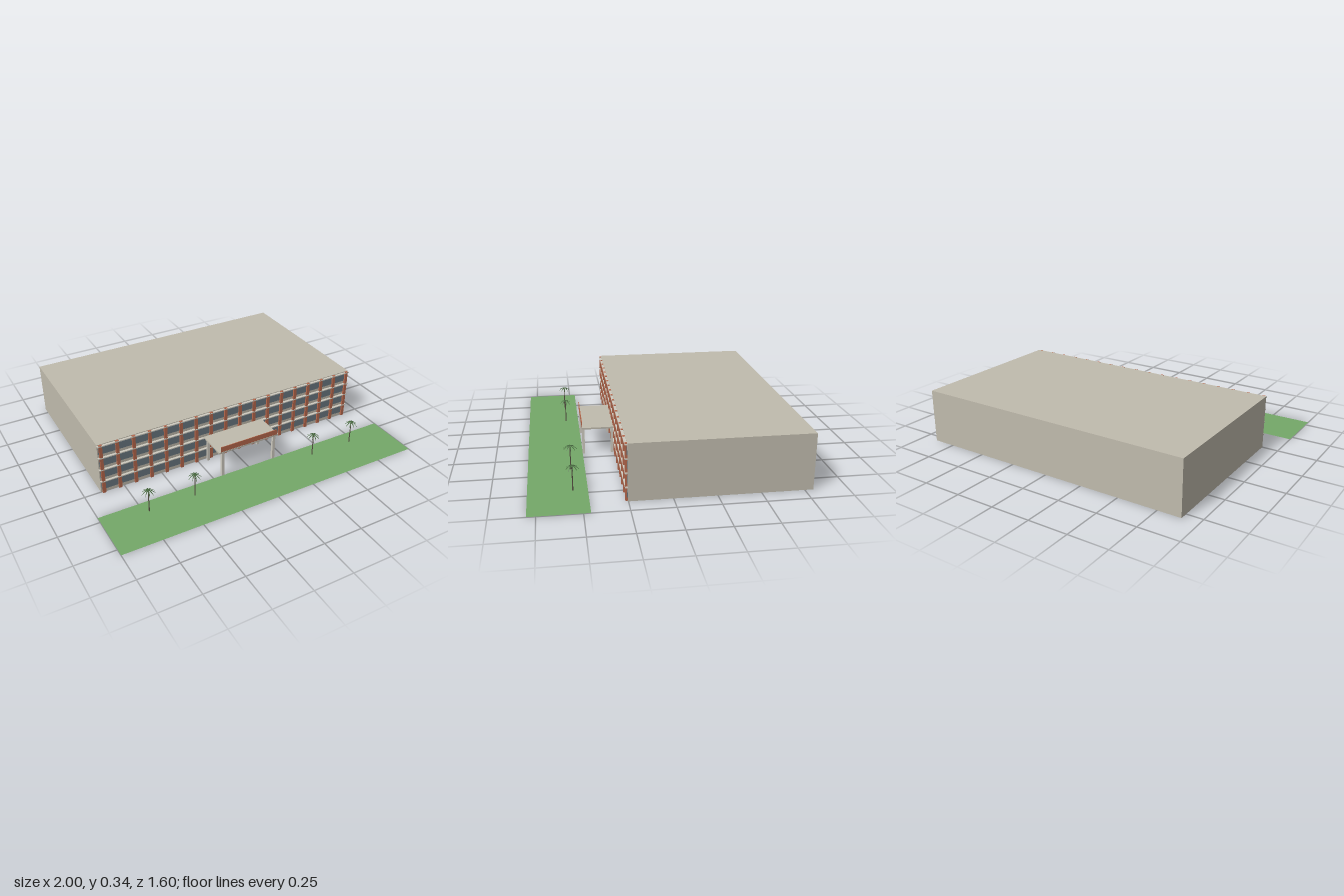
import * as THREE from 'three';

const mat = (name, color, side = THREE.FrontSide) => {
  const m = new THREE.MeshStandardMaterial({ color, side });
  m.name = name;
  return m;
};

export function createModel() {
  const root = new THREE.Group();
  root.name = 'officeBuilding';
  const concrete = mat('concrete', 0xc0bbad);
  const paleTrim = mat('paleTrim', 0xcfcbc0);
  const brick = mat('brick', 0xb8694d);
  const glass = mat('glass', 0x6a7880);
  const grass = mat('grass', 0x74a868, THREE.DoubleSide);
  const bark = mat('bark', 0x5c5547);
  const leaf = mat('leaf', 0x47683f, THREE.DoubleSide);

  // Box given by its minimum and maximum corners
  const box = (name, m, x0, x1, y0, y1, z0, z1, parent = root) => {
    const mesh = new THREE.Mesh(new THREE.BoxGeometry(x1 - x0, y1 - y0, z1 - z0), m);
    mesh.position.set((x0 + x1) / 2, (y0 + y1) / 2, (z0 + z1) / 2);
    mesh.name = name;
    parent.add(mesh);
    return mesh;
  };

  // Main block
  const L = -0.897, R = 0.893;
  box('mainBlock', concrete, L, R, 0, 0.34, -0.8, 0.253);

  // Four storeys: a ribbon window with a thin ledge above
  const facade = new THREE.Group();
  facade.name = 'facade';
  root.add(facade);
  for (let i = 0; i < 4; i++) {
    const y = i * 0.0835;
    box('ribbonWindow', glass, L + 0.006, R - 0.006, y + 0.022, y + 0.069, 0.25, 0.256, facade);
    box('floorLedge', paleTrim, L, R, y + 0.079, y + 0.085, 0.25, 0.268, facade);
  }

  // Brick pilasters
  for (let i = 0; i < 18; i++) {
    const x = -0.878 + i * 0.1031;
    box('pilaster', brick, x - 0.01, x + 0.01, 0, 0.338, 0.25, 0.266, facade);
  }

  // Entrance canopy on four posts with a plain sign board
  const canopy = new THREE.Group();
  canopy.name = 'entranceCanopy';
  root.add(canopy);
  box('canopyRoof', concrete, -0.212, 0.208, 0.169, 0.179, 0.266, 0.463, canopy);
  box('signBoard', brick, -0.2, 0.198, 0.18, 0.215, 0.459, 0.463, canopy);
  for (const x of [-0.184, 0.18]) {
    for (const z of [0.274, 0.453]) {
      box('canopyPost', paleTrim, x - 0.009, x + 0.009, 0, 0.169, z - 0.008, z + 0.008, canopy);
    }
  }

  // Front lawn
  const lawn = new THREE.Mesh(new THREE.PlaneGeometry(2, 0.34), grass);
  lawn.rotation.x = -Math.PI / 2;
  lawn.position.set(0, 0.001, 0.63);
  lawn.name = 'lawn';
  root.add(lawn);

  // Drooping frond: a strip that narrows to its tip
  const frond = new THREE.PlaneGeometry(1, 1, 4, 1);
  const p = frond.attributes.position;
  for (let i = 0; i < p.count; i++) {
    const t = p.getX(i) + 0.5;
    const w = 0.007 * Math.sin(Math.PI * (0.15 + 0.8 * t));
    p.setXYZ(i, 0.043 * t, 0.006 * t - 0.028 * t * t, -p.getY(i) * w);
  }
  frond.computeVertexNormals();

  // Palms
  const trunk = new THREE.CylinderGeometry(0.0025, 0.0035, 0.153, 6);
  for (const x of [-0.718, -0.422, 0.42, 0.716]) {
    const palm = new THREE.Group();
    palm.name = 'palm';
    palm.position.set(x, 0, 0.545);
    const stem = new THREE.Mesh(trunk, bark);
    stem.position.y = 0.0765;
    stem.name = 'palmTrunk';
    palm.add(stem);
    for (let i = 0; i < 10; i++) {
      const f = new THREE.Mesh(frond, leaf);
      f.position.y = 0.154;
      f.rotation.y = (i / 10) * Math.PI * 2 + 0.1;
      f.name = 'palmFrond';
      palm.add(f);
    }
    root.add(palm);
  }
  return root;
}
